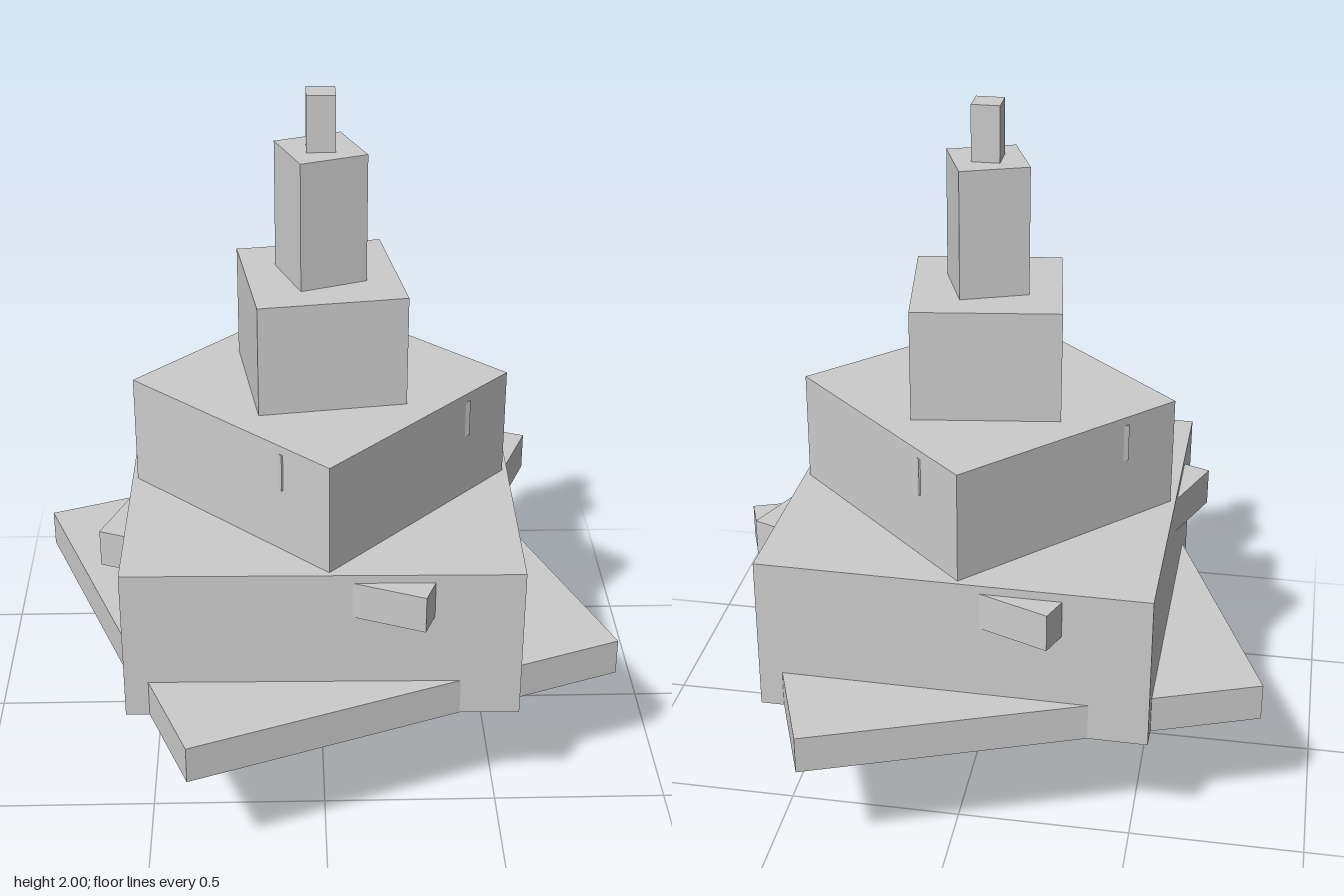
import * as THREE from 'three';

export function createModel() {
  const model = new THREE.Group();
  model.name = 'twistedTower';

  const grey = new THREE.MeshStandardMaterial({ color: 0xcccccc });
  grey.name = 'plain grey';

  // Square tiers: name, side, bottom, top, turn about y in degrees
  const tiers = [
    ['stem', 0.25, 0, 0.36, 0],
    ['basePlate', 1.317, 0.36, 0.47, 20.9],
    ['mainBlock', 1.11, 0.36, 0.82, -0.8],
    ['mainBlockCornerLugs', 0.976, 0.685, 0.795, -22],
    ['upperBlock', 0.764, 0.82, 1.145, -43.9],
    ['upperBlockCornerFins', 0.622, 1.01, 1.12, 29.6],
    ['neckBlock', 0.42, 1.145, 1.47, 8.2],
    ['towerBlock', 0.197, 1.47, 1.84, 20.7],
    ['topPeg', 0.08, 1.84, 2, 0],
  ];

  for (const [name, side, bottom, top, turn] of tiers) {
    const tier = new THREE.Mesh(new THREE.BoxGeometry(side, top - bottom, side), grey);
    tier.name = name;
    tier.position.y = (bottom + top) / 2;
    tier.rotation.y = THREE.MathUtils.degToRad(turn);
    model.add(tier);
  }
  return model;
}
